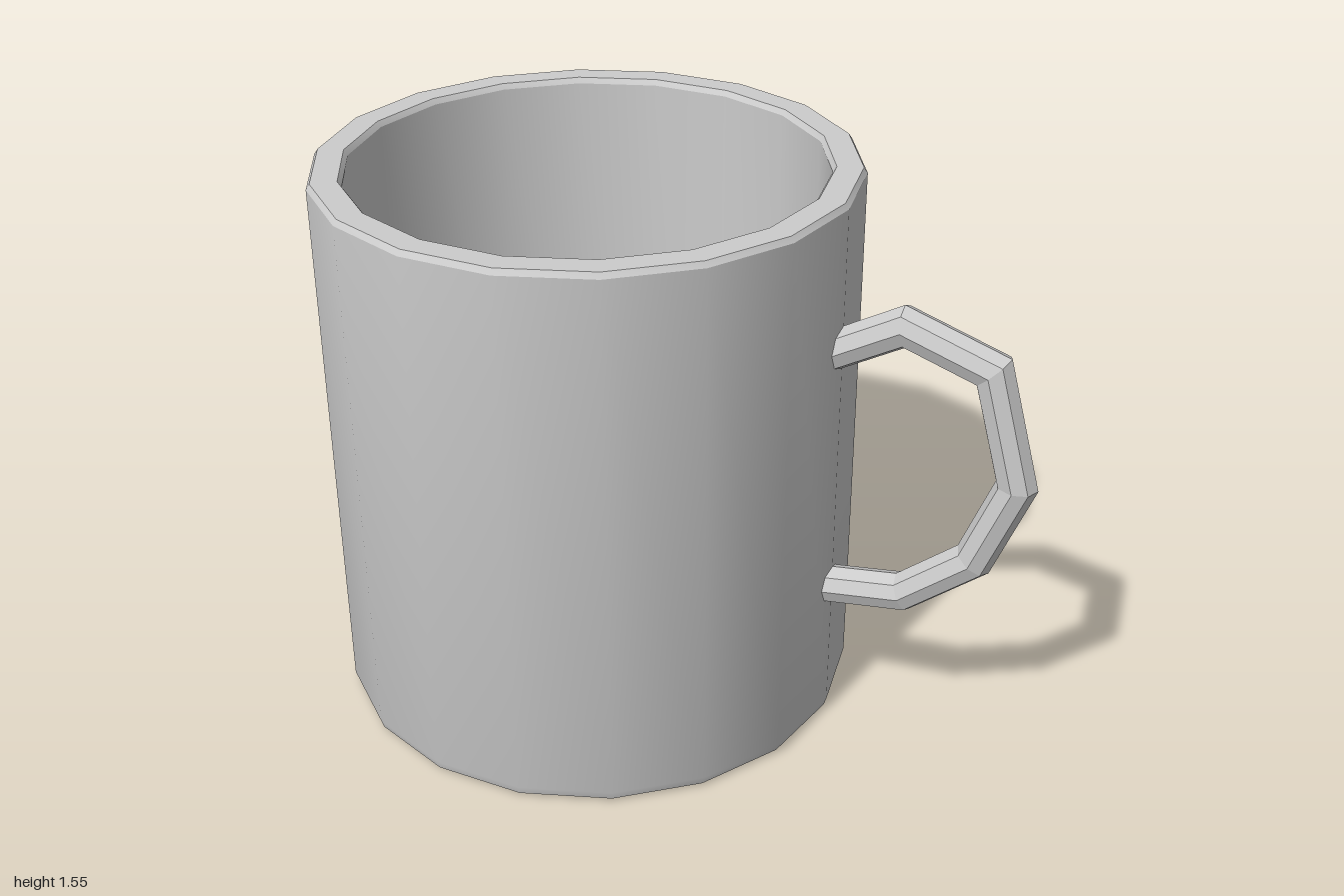
import * as THREE from 'three';
import { toCreasedNormals } from 'three/addons/utils/BufferGeometryUtils.js';

const CUP_X = -0.272;

// 18-sided hollow cup: underside, outer wall, rim, inner wall, floor
function createCup(material) {
  const profile = [
    [0, 0], [0.703, 0], [0.72, 0.01], [0.728, 0.035], [0.728, 1.535], [0.718, 1.55],
    [0.648, 1.55], [0.638, 1.535], [0.63, 0.1], [0.62, 0.09], [0, 0.09],
  ].map(([r, y]) => new THREE.Vector2(r, y));
  const lathe = new THREE.LatheGeometry(profile, 18, Math.PI / 2);
  const cup = new THREE.Mesh(toCreasedNormals(lathe, 0.55), material);
  cup.name = 'cup';
  cup.position.x = CUP_X;
  return cup;
}

// Eight-sided bar bent along a path, with mitred corners
function createHandle(material) {
  const radius = 0.053;
  const path = [
    [0.42, 1.135], [0.622, 1.25], [0.857, 1.175], [0.943, 0.865],
    [0.846, 0.617], [0.66, 0.463], [0.42, 0.425],
  ].map(([x, y]) => new THREE.Vector2(x, y));
  const last = path.length - 1;
  const direction = (i) => path[i + 1].clone().sub(path[i]).normalize();

  // One ring per path point: in-plane normal, stretched at the corners
  const rings = path.map((point, i) => {
    const before = direction(Math.max(i - 1, 0));
    const after = direction(Math.min(i, last - 1));
    const tangent = before.clone().add(after).normalize();
    const normal = new THREE.Vector2(tangent.y, -tangent.x);
    return { point, normal: normal.multiplyScalar(1 / tangent.dot(after)) };
  });

  const geometry = new THREE.CylinderGeometry(radius, radius, last, 8, last);
  const position = geometry.attributes.position;
  for (let i = 0; i < position.count; i++) {
    const { point, normal } = rings[Math.round(position.getY(i) + last / 2)];
    const across = position.getX(i);
    position.setX(i, point.x + normal.x * across);
    position.setY(i, point.y + normal.y * across);
  }
  geometry.computeVertexNormals();
  const handle = new THREE.Mesh(geometry, material);
  handle.name = 'handle';
  return handle;
}

export function createModel() {
  const group = new THREE.Group();
  group.name = 'mug';
  group.add(
    createCup(new THREE.MeshStandardMaterial({ color: 0xcccccc })),
    createHandle(new THREE.MeshStandardMaterial({ color: 0xcccccc, flatShading: true })),
  );
  return group;
}
